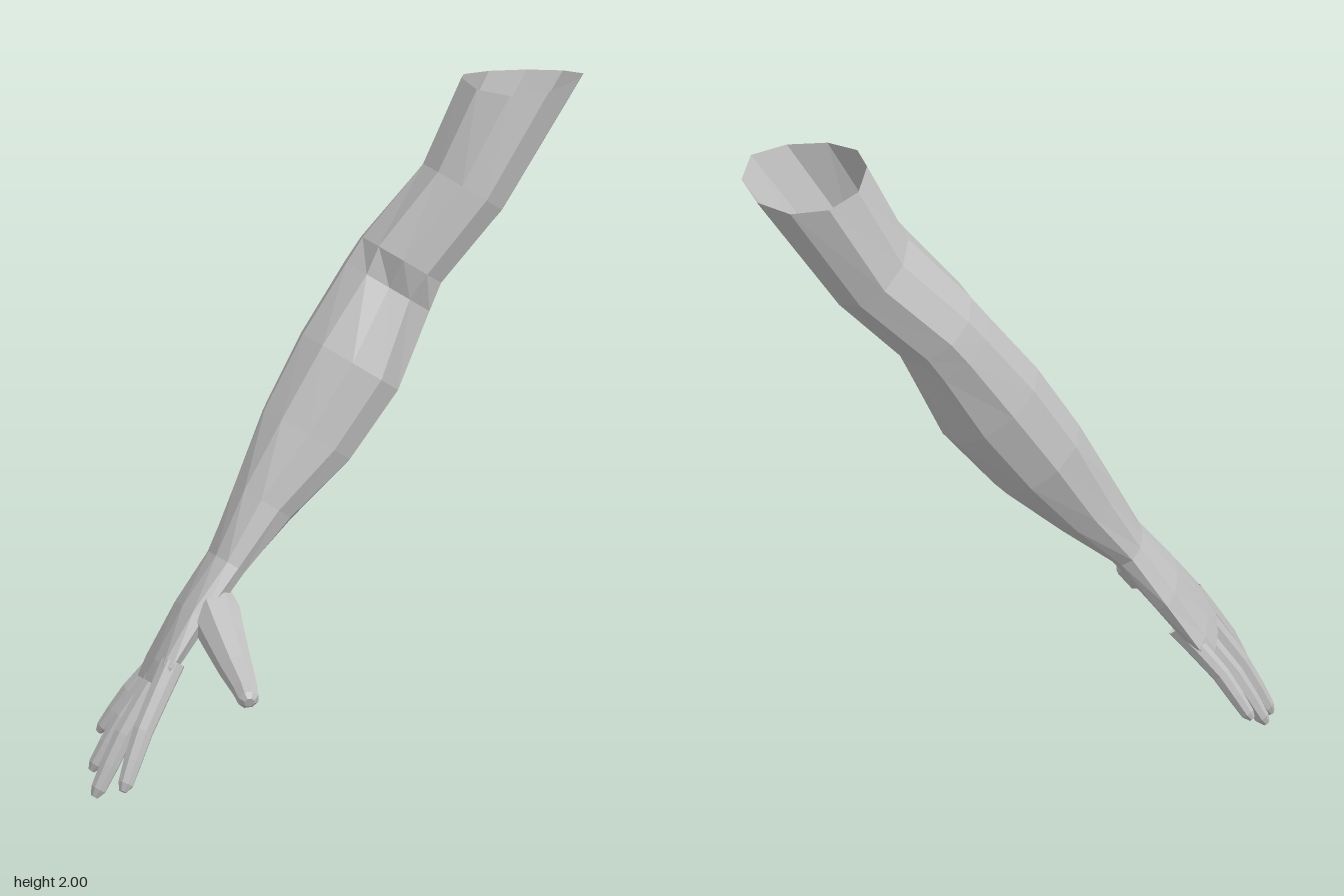
import * as THREE from 'three';

const V = (x, y, z) => new THREE.Vector3(x, y, z);
// Arm frame: U across, N outward on the hand-back side, D from shoulder to fingers
const U = V(0.69, 0, 0.72), N = V(-0.58, 0.61, 0.55), D = V(-0.44, -0.8, 0.42);

// Skin a list of equal-sized point rings; optionally close the last ring
function loft(rings, material, name, capEnd = true) {
  const n = rings[0].length, pos = [], idx = [];
  rings.forEach(r => r.forEach(p => pos.push(p.x, p.y, p.z)));
  for (let j = 0; j < rings.length - 1; j++) {
    for (let i = 0; i < n; i++) {
      const a = j * n + i, b = j * n + (i + 1) % n;
      idx.push(a, b, a + n, b, b + n, a + n);
    }
  }
  if (capEnd) {
    const last = rings[rings.length - 1], c = V(0, 0, 0);
    last.forEach(p => c.addScaledVector(p, 1 / n));
    pos.push(c.x, c.y, c.z);
    const o = (rings.length - 1) * n;
    for (let i = 0; i < n; i++) idx.push(o + i, o + (i + 1) % n, o + n);
  }
  const g = new THREE.BufferGeometry();
  g.setAttribute('position', new THREE.Float32BufferAttribute(pos, 3));
  g.setIndex(idx);
  g.computeVertexNormals();
  const mesh = new THREE.Mesh(g, material);
  mesh.name = name;
  return mesh;
}

// Skewed oval section of the arm
function section({ t, u, v, a, b, skew, dent = [] }) {
  return Array.from({ length: 10 }, (_, i) => {
    const th = i * Math.PI / 5, s = dent[i] ?? 1;
    return V(0, 0, 0).addScaledVector(D, t)
      .addScaledVector(U, u + a * s * Math.cos(th))
      .addScaledVector(N, v + b * s * Math.sin(th + skew));
  });
}

// Tapered finger along a path, with a radius at each point
function digit(path, radii, material, name) {
  const d = path[path.length - 1].clone().sub(path[0]).normalize();
  const e = N.clone().cross(d).normalize(), f = d.clone().cross(e);
  const rings = path.map((p, k) => Array.from({ length: 8 }, (_, i) => {
    const th = (i + 0.5) * Math.PI / 4;
    return p.clone().addScaledVector(e, radii[k] * Math.cos(th))
      .addScaledVector(f, radii[k] * Math.sin(th));
  }));
  return loft(rings, material, name);
}

export function createModel() {
  const group = new THREE.Group();
  group.name = 'arm';
  const skin = new THREE.MeshStandardMaterial({ color: 0xc0c0c0, flatShading: true, side: THREE.DoubleSide });
  skin.name = 'plain grey';

  // Upper arm, elbow fold, forearm, wrist and palm
  const rings = [
    { t: -1.986, u: -0.035, v: 0.625, a: 0.195, b: 0.175, skew: 0.23 },
    { t: -1.62, u: -0.045, v: 0.60, a: 0.182, b: 0.156, skew: 0.27 },
    { t: -1.34, u: -0.085, v: 0.63, a: 0.172, b: 0.145, skew: 0.17 },
    { t: -1.25, u: -0.085, v: 0.625, a: 0.172, b: 0.15, skew: 0.1, dent: [0.8, 0.7, 0.88] },
    { t: -1.0, u: -0.075, v: 0.612, a: 0.174, b: 0.173, skew: 0 },
    { t: -0.75, u: -0.07, v: 0.618, a: 0.158, b: 0.157, skew: 0.03 },
    { t: -0.51, u: -0.058, v: 0.642, a: 0.124, b: 0.115, skew: 0.27 },
    { t: -0.30, u: -0.042, v: 0.66, a: 0.107, b: 0.074, skew: 0.48 },
    { t: -0.12, u: -0.05, v: 0.67, a: 0.13, b: 0.084, skew: 0.74 },
    { t: 0.06, u: -0.045, v: 0.677, a: 0.146, b: 0.087, skew: 1.0 },
    { t: 0.125, u: -0.045, v: 0.677, a: 0.125, b: 0.074, skew: 1.02 },
  ].map(section);
  // Trim the open shoulder end almost level, sloping down at the back
  for (const p of rings[0]) {
    const y = 2 - 0.33 * Math.max(0, -0.45 - p.z);
    p.addScaledVector(D, (p.y - y) / 0.8);
  }
  group.add(loft(rings, skin, 'armAndPalm'));

  // Four fingers: knuckle, then tip
  const fingers = [
    ['littleFinger', V(-0.47, 0.33, 0.245), V(-0.655, 0.095, 0.28), 0.9],
    ['ringFinger', V(-0.475, 0.31, 0.34), V(-0.65, 0.03, 0.43), 1],
    ['middleFinger', V(-0.46, 0.32, 0.435), V(-0.615, 0.008, 0.58), 1.05],
    ['indexFinger', V(-0.415, 0.355, 0.5), V(-0.51, 0.075, 0.685), 1.05],
  ];
  for (const [name, base, tip, s] of fingers) {
    const path = [-0.2, 0.08, 0.45, 0.72, 0.93, 1].map((k, i) =>
      base.clone().lerp(tip, k).addScaledVector(N, [0, 0.006, 0.012, 0.006, 0, 0][i]));
    group.add(digit(path, [0.036, 0.034, 0.031, 0.028, 0.023, 0.011].map(r => r * s), skin, name));
  }

  // Thumb with a broad root blending into the palm
  group.add(digit(
    [V(-0.315, 0.57, 0.27), V(-0.285, 0.52, 0.35), V(-0.245, 0.485, 0.435), V(-0.19, 0.44, 0.545),
      V(-0.145, 0.415, 0.64), V(-0.124, 0.407, 0.70), V(-0.118, 0.405, 0.718)],
    [0.055, 0.078, 0.066, 0.052, 0.039, 0.033, 0.016], skin, 'thumb'));

  return group;
}
